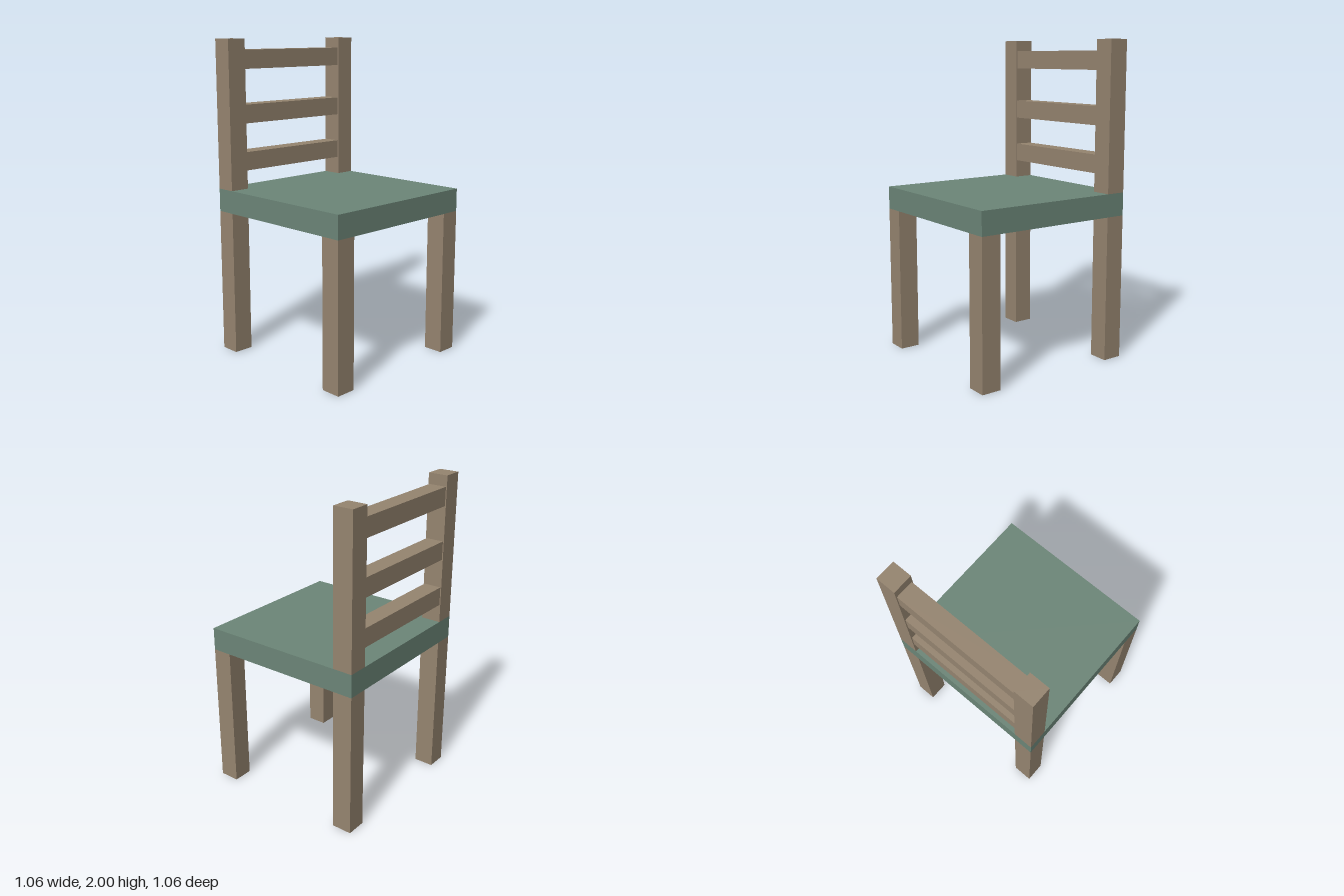
import * as THREE from 'three';

export function createModel() {
  const chair = new THREE.Group();
  chair.name = 'chair';

  const wood = new THREE.MeshStandardMaterial({ color: 0x968570 });
  wood.name = 'brown wood';
  const green = new THREE.MeshStandardMaterial({ color: 0x6c8678 });
  green.name = 'green seat';

  // Box given by its vertical extent, width, depth and plan position
  function addBox(name, material, width, depth, bottom, top, x, z) {
    const mesh = new THREE.Mesh(new THREE.BoxGeometry(width, top - bottom, depth), material);
    mesh.name = name;
    mesh.position.set(x, (bottom + top) / 2, z);
    chair.add(mesh);
  }

  const half = 0.532;
  const post = 0.127;
  const inset = half - post / 2;
  const seatBottom = 0.92;
  const seatTop = 1.065;

  // Square seat slab
  addBox('seat', green, half * 2, half * 2, seatBottom, seatTop, 0, 0);

  // Legs, with back posts continuing above the seat
  for (const [side, x] of [['left', inset], ['right', -inset]]) {
    addBox(`${side}FrontLeg`, wood, post, post, 0, seatBottom, x, inset);
    addBox(`${side}BackLeg`, wood, post, post, 0, seatBottom, x, -inset);
    addBox(`${side}BackPost`, wood, post, post, seatTop, 2, x, -inset);
  }

  // Backrest slats between the posts
  const slatWidth = 2 * (half - post);
  [1.18, 1.478, 1.815].forEach((bottom, i) => {
    addBox(`backSlat${i + 1}`, wood, slatWidth, 0.114, bottom, bottom + 0.117, 0, -inset);
  });

  return chair;
}
